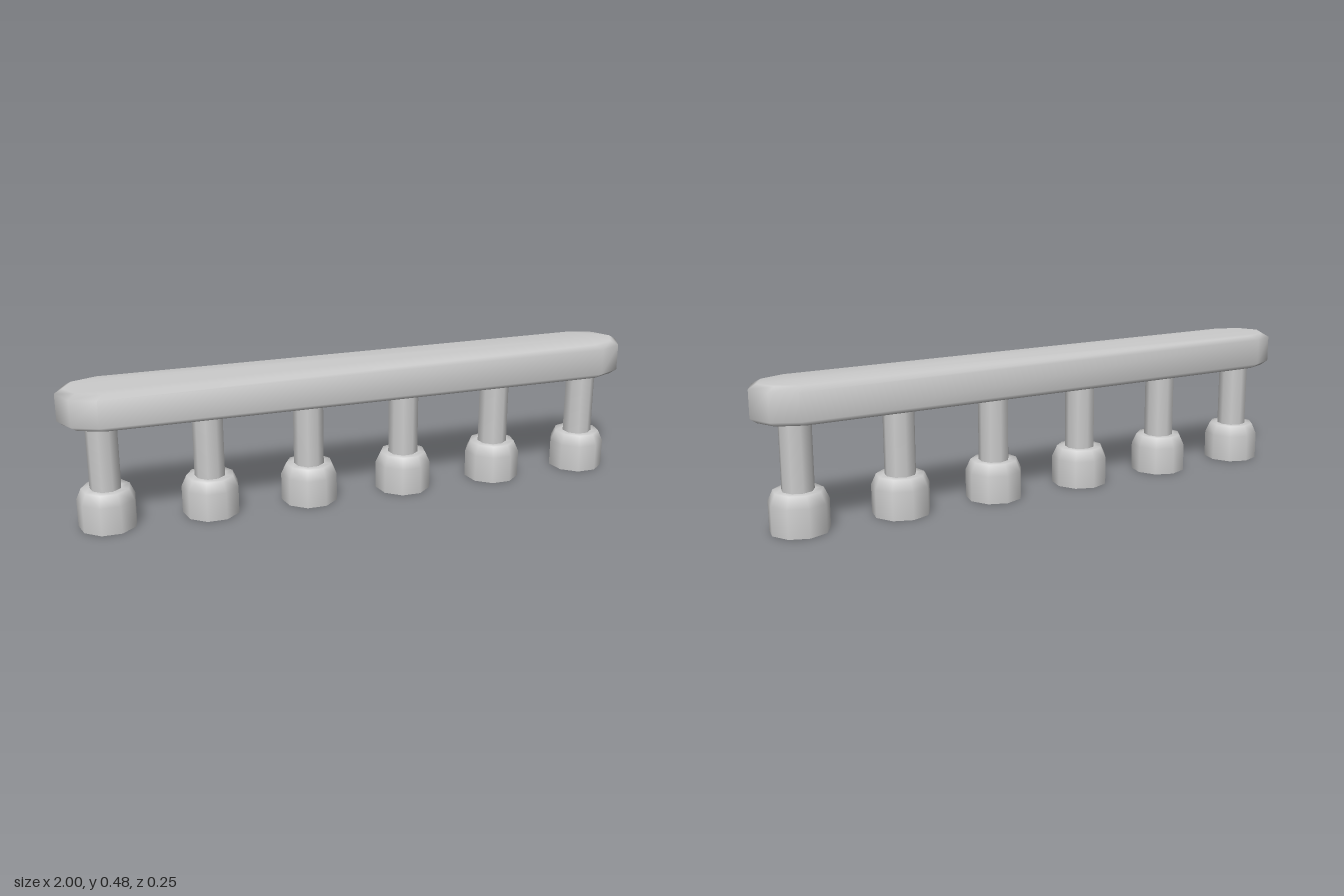
import * as THREE from 'three';

const material = new THREE.MeshStandardMaterial({ color: 0xcccccc, side: THREE.DoubleSide });

// Long bar: bevelled rings of a ten-sided plan, closed by flat caps
function barGeometry() {
  const quarter = [[1, 0], [0.965, 0.67], [0.882, 1]]; // x, fraction of half depth
  const mirrored = quarter.slice(1).reverse().map(([x, z]) => [-x, z]);
  const half = [...quarter, ...mirrored];
  const plan = [...half, ...half.map(([x, z]) => [-x, -z])];
  const levels = [ // y, half length, half depth
    [0.36, 0.98, 0.105], [0.375, 1, 0.119], [0.465, 1, 0.119], [0.48, 0.975, 0.098],
  ];
  const n = plan.length, positions = [], index = [];
  for (const [y, length, depth] of levels) {
    for (const [px, pz] of plan) {
      const x = px - Math.sign(px) * (1 - length);
      positions.push(x, y, pz * depth - 0.004 * x); // very slight skew
    }
  }
  for (let r = 0; r < levels.length - 1; r++) {
    for (let i = 0; i < n; i++) {
      const a = r * n + i, b = r * n + (i + 1) % n;
      index.push(a, a + n, b, b, a + n, b + n);
    }
  }
  const top = (levels.length - 1) * n;
  for (let i = 1; i < n - 1; i++) {
    index.push(0, i, i + 1, top, top + i + 1, top + i);
  }
  const geometry = new THREE.BufferGeometry();
  geometry.setAttribute('position', new THREE.Float32BufferAttribute(positions, 3));
  geometry.setIndex(index);
  geometry.computeVertexNormals();
  return geometry;
}

// Nine-sided turned part, open at both ends
function turned(name, profile) {
  const points = profile.map(([r, y]) => new THREE.Vector2(r, y));
  const mesh = new THREE.Mesh(new THREE.LatheGeometry(points, 9, Math.PI), material);
  mesh.name = name;
  return mesh;
}

export function createModel() {
  const model = new THREE.Group();
  model.name = 'barOnPosts';

  const bar = new THREE.Mesh(barGeometry(), material);
  bar.name = 'topBar';
  model.add(bar);

  // Six evenly spaced posts on hollow feet
  for (let i = 0; i < 6; i++) {
    const leg = new THREE.Group();
    leg.name = `leg${i + 1}`;
    leg.add(
      turned('foot', [[0.097, 0], [0.097, 0.095], [0.08, 0.132], [0.052, 0.132]]),
      turned('post', [[0.052, 0.132], [0.052, 0.362]]),
    );
    leg.position.x = -0.864 + i * 0.345;
    model.add(leg);
  }
  return model;
}
